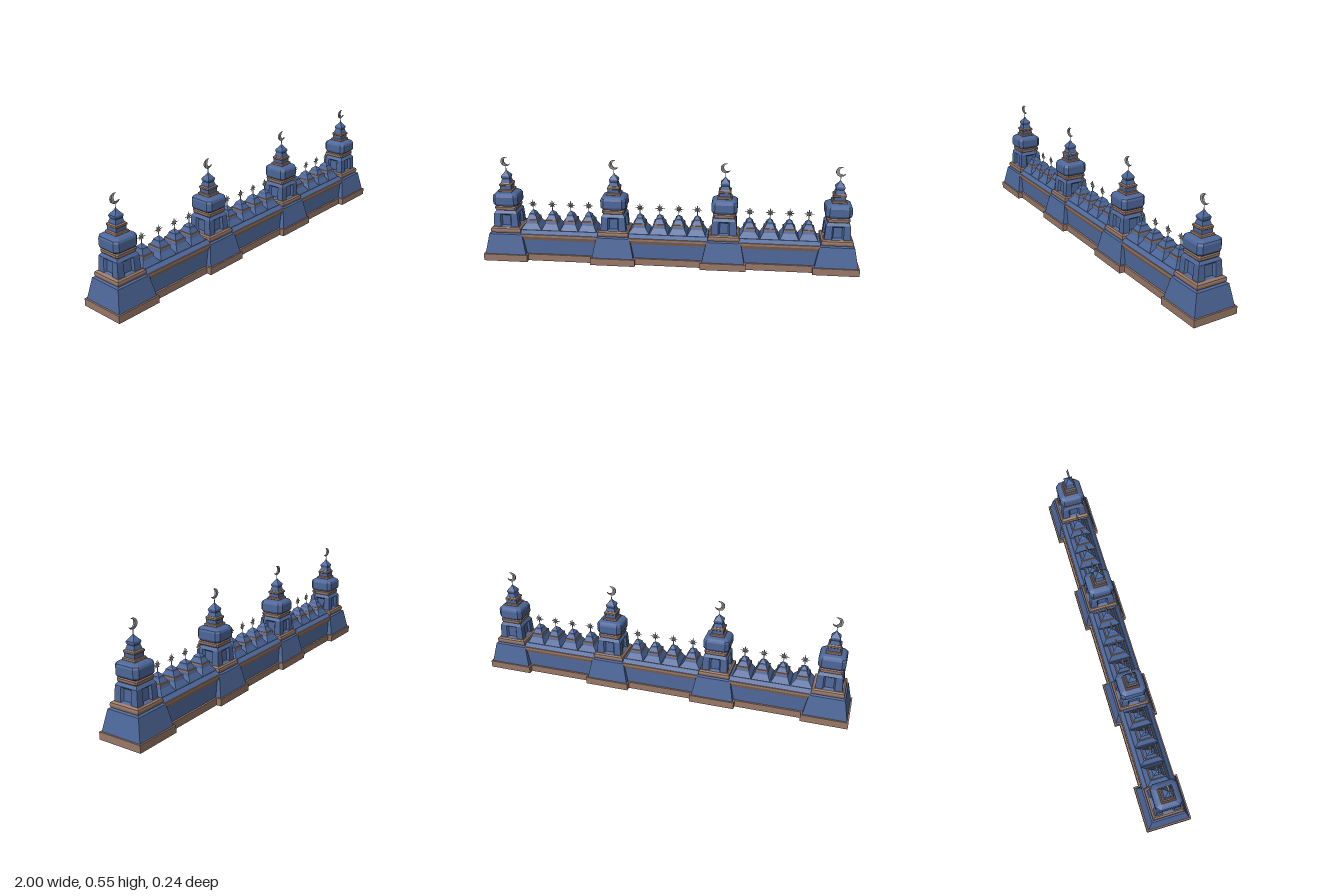
import * as THREE from 'three';

const mat = (color) => new THREE.MeshStandardMaterial({ color, flatShading: true, side: THREE.DoubleSide });

// Stack of rectangular sections [halfX, y, halfZ = halfX, corner cut = 0], capped at both ends.
function loft(sections) {
  const cut = sections.some((s) => s[3]);
  const pos = [], index = [];
  for (const [hx, y, hz = hx, c = 0] of sections) {
    const corners = cut
      ? [[hx, hz - c], [hx - c, hz], [c - hx, hz], [-hx, hz - c], [-hx, c - hz], [c - hx, -hz], [hx - c, -hz], [hx, c - hz]]
      : [[hx, hz], [-hx, hz], [-hx, -hz], [hx, -hz]];
    for (const [x, z] of corners) pos.push(x, y, z);
  }
  const n = cut ? 8 : 4, top = (sections.length - 1) * n;
  for (let r = 0; r < top; r += n) {
    for (let i = 0; i < n; i++) {
      const j = (i + 1) % n;
      index.push(r + i, r + n + i, r + j, r + j, r + n + i, r + n + j);
    }
  }
  for (let i = 1; i < n - 1; i++) index.push(0, i, i + 1, top, top + i + 1, top + i);
  const g = new THREE.BufferGeometry();
  g.setAttribute('position', new THREE.Float32BufferAttribute(pos, 3));
  g.setIndex(index);
  g.computeVertexNormals();
  return g;
}

function add(parent, name, geometry, material, y = 0) {
  const mesh = new THREE.Mesh(geometry, material);
  mesh.name = name;
  mesh.position.y = y;
  parent.add(mesh);
  return mesh;
}

// Crescent, thinning towards its top and bottom
function crescentGeometry() {
  const R = 0.026, s = new THREE.Shape();
  s.absarc(0, 0, R, 0.803, Math.PI * 2 - 0.803, false);
  s.absarc(0.011, 0, 0.02, -1.212, 1.212, true);
  const g = new THREE.ExtrudeGeometry(s, { depth: 0.01, bevelEnabled: false, curveSegments: 20 });
  g.translate(0, 0, -0.005).rotateZ(0.35);
  const p = g.attributes.position;
  for (let i = 0; i < p.count; i++) p.setZ(i, p.getZ(i) * (1 - 0.8 * (p.getY(i) / R) ** 2));
  g.computeVertexNormals();
  return g;
}

// Eight-pointed star, thickest in the middle
function starGeometry() {
  const g = new THREE.SphereGeometry(1, 16, 2), p = g.attributes.position;
  for (let i = 0; i < p.count; i++) {
    const j = i % 17, r = j % 2 ? 0.01 : j % 4 ? 0.021 : 0.028;
    p.setXYZ(i, p.getX(i) * r, p.getY(i) * 0.007, p.getZ(i) * r);
  }
  g.rotateX(Math.PI / 2);
  g.computeVertexNormals();
  return g;
}

// Sloping tower face with an opening for the niche
function towerFaceGeometry() {
  const s = new THREE.Shape([[-0.068, 0.175], [0.068, 0.175], [0.063, 0.255], [-0.063, 0.255]].map((p) => new THREE.Vector2(...p)));
  s.holes.push(new THREE.Path([[-0.03, 0.18], [-0.03, 0.251], [0.03, 0.251], [0.03, 0.18]].map((p) => new THREE.Vector2(...p))));
  const g = new THREE.ShapeGeometry(s), p = g.attributes.position;
  for (let i = 0; i < p.count; i++) p.setZ(i, faceZ(p.getY(i)));
  g.computeVertexNormals();
  return g;
}
const faceZ = (y) => 0.068 - (y - 0.175) * 0.0625;

// Splayed niche sides and back panel
function nicheGeometry() {
  const pos = [];
  for (const [h, y0, y1, d] of [[0.03, 0.18, 0.251, 0], [0.022, 0.187, 0.243, 0.012]])
    for (const [x, y] of [[-h, y0], [h, y0], [h, y1], [-h, y1]]) pos.push(x, y, faceZ(y) - d);
  const index = [4, 5, 6, 4, 6, 7];
  for (let i = 0; i < 4; i++) {
    const j = (i + 1) % 4;
    index.push(i, j, j + 4, i, j + 4, i + 4);
  }
  const g = new THREE.BufferGeometry();
  g.setAttribute('position', new THREE.Float32BufferAttribute(pos, 3));
  g.setIndex(index);
  g.computeVertexNormals();
  return g;
}

export function createModel() {
  const blue = mat(0x4d6799), copper = mat(0x987868), silver = mat(0x999999);
  const model = new THREE.Group();
  model.name = 'crenellatedWall';

  const face = towerFaceGeometry(), niche = nicheGeometry();
  const crescent = crescentGeometry(), star = starGeometry();

  function tower(x) {
    const t = new THREE.Group();
    t.name = 'tower';
    t.position.x = x;
    add(t, 'towerPlinth', loft([[0.12, 0], [0.12, 0.038]]), copper);
    add(t, 'towerBase', loft([[0.112, 0.038], [0.09, 0.145], [0.08, 0.15]]), blue);
    add(t, 'towerCornice', loft([[0.078, 0.148], [0.082, 0.157], [0.083, 0.163], [0.081, 0.174], [0.073, 0.18]]), copper);
    for (let i = 0; i < 4; i++) {
      add(t, 'towerFace', face, blue).rotation.y = i * Math.PI / 2;
      add(t, 'niche', niche, blue).rotation.y = i * Math.PI / 2;
    }
    add(t, 'towerShoulder', loft([[0.063, 0.255], [0.05, 0.274]]), blue);
    add(t, 'lowerCollar', loft([
      [0.055, 0.27, 0.055, 0.008], [0.059, 0.275, 0.059, 0.008], [0.06, 0.288, 0.06, 0.008], [0.056, 0.293, 0.056, 0.008]]), copper);
    // bulbous dome with cut corners
    const dome = [[0.054, 0.292], [0.064, 0.299], [0.068, 0.308], [0.068, 0.345], [0.064, 0.355], [0.054, 0.362], [0.036, 0.368]];
    add(t, 'dome', loft(dome.map(([h, y]) => [h, y, h, h * 0.27])), blue);
    add(t, 'middleCollar', loft([[0.034, 0.365], [0.038, 0.369], [0.037, 0.377], [0.033, 0.38]]), copper);
    add(t, 'lantern', loft([[0.03, 0.378], [0.03, 0.4]]), blue);
    add(t, 'upperCollar', loft([[0.029, 0.398], [0.033, 0.402], [0.033, 0.41], [0.028, 0.415]]), copper);
    add(t, 'spire', loft([[0.026, 0.414], [0.02, 0.435], [0.024, 0.446], [0.023, 0.452], [0.009, 0.469], [0.002, 0.48]]), blue);
    add(t, 'finialPole', new THREE.CylinderGeometry(0.0015, 0.002, 0.035, 8), silver, 0.49);
    add(t, 'crescent', crescent, silver, 0.527);
    model.add(t);
  }

  function merlon(parent, x, w) {
    const m = new THREE.Group();
    m.name = 'merlon';
    m.position.x = x;
    add(m, 'merlonBase', loft([[w, 0.155, 0.062], [w, 0.168, 0.062], [0.034, 0.195, 0.044], [0.031, 0.208, 0.04]]), blue);
    add(m, 'merlonBand', loft([[0.032, 0.207, 0.042], [0.032, 0.216, 0.042]]), copper);
    add(m, 'merlonCap', loft([[0.028, 0.216, 0.036], [0.018, 0.236, 0.024], [0.017, 0.244, 0.022], [0.003, 0.26, 0.003]]), blue);
    add(m, 'starPole', new THREE.CylinderGeometry(0.002, 0.002, 0.03, 8), silver, 0.268);
    add(m, 'star', star, silver, 0.293);
    parent.add(m);
  }

  function wall(x) {
    const w = new THREE.Group(), L = 0.21;
    w.name = 'wallBay';
    w.position.x = x;
    add(w, 'wallPlinth', loft([[L, 0, 0.093], [L, 0.037, 0.093]]), copper);
    add(w, 'wallBody', loft([[L, 0.037, 0.083], [L, 0.118, 0.08]]), blue);
    add(w, 'wallCornice', loft([[L, 0.116, 0.081], [L, 0.136, 0.09], [L, 0.149, 0.09]]), copper);
    add(w, 'wallCoping', loft([[L, 0.149, 0.084], [L, 0.165, 0.064]]), blue);
    [-0.158, -0.051, 0.051, 0.15].forEach((mx, i) => merlon(w, mx, i ? 0.048 : 0.054));
    model.add(w);
  }

  [-0.88, -0.294, 0.294, 0.88].forEach(tower);
  [-0.587, 0, 0.584].forEach(wall);
  return model;
}
